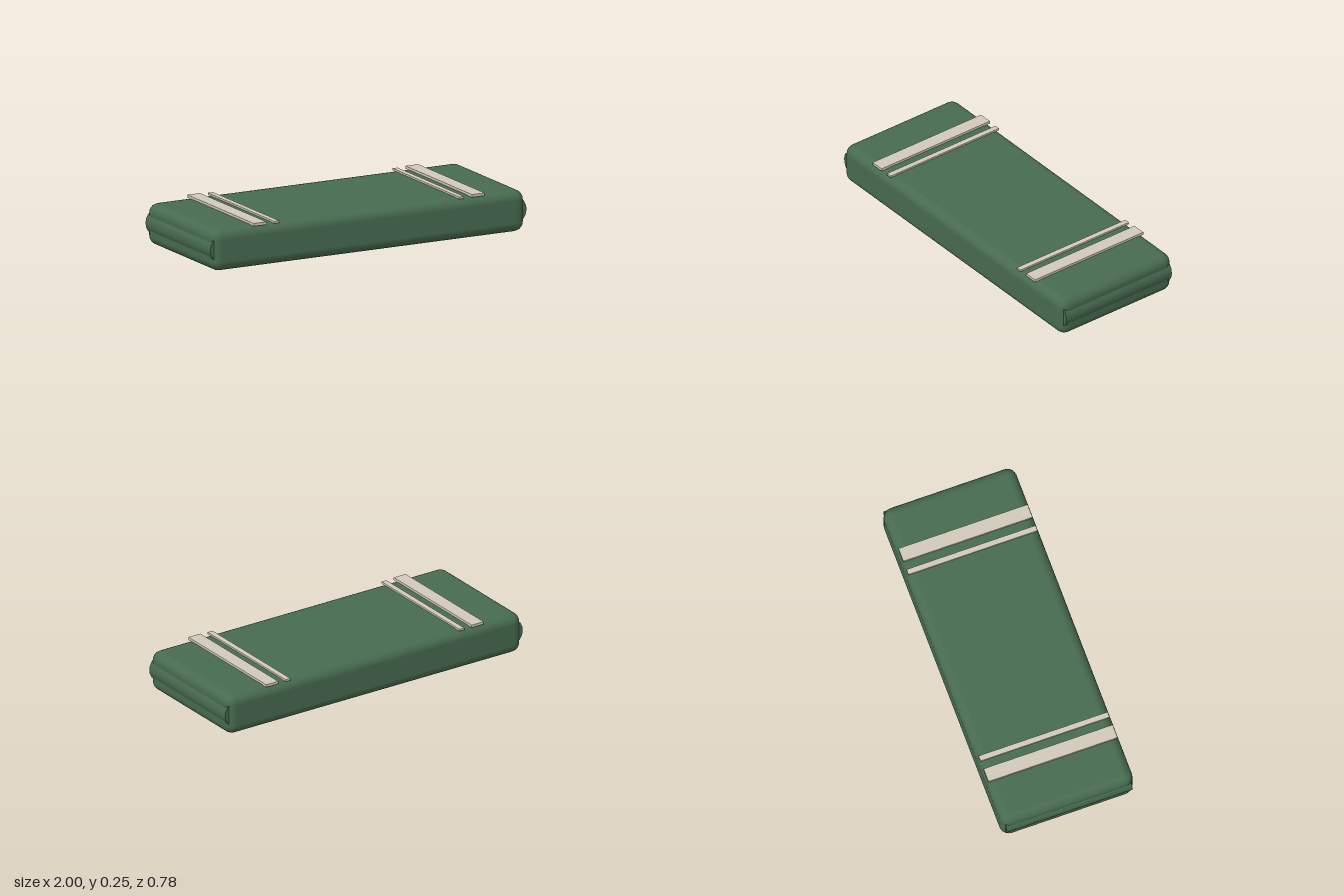
import * as THREE from 'three';
import { RoundedBoxGeometry } from 'three/addons/geometries/RoundedBoxGeometry.js';

export function createModel() {
  const model = new THREE.Group();
  model.name = 'paddedBedroll';

  const green = new THREE.MeshStandardMaterial({ color: 0x476b50 });
  green.name = 'green canvas';
  const cream = new THREE.MeshStandardMaterial({ color: 0xd2c9b8 });
  cream.name = 'cream webbing';

  function add(name, geometry, material, x, y, z = 0) {
    const mesh = new THREE.Mesh(geometry, material);
    mesh.name = name;
    mesh.position.set(x, y, z);
    model.add(mesh);
    return mesh;
  }

  // Soft rectangular body
  add('body', new RoundedBoxGeometry(1.976, 0.236, 0.78, 3, 0.055), green, 0, 0.118);

  // Each end has a bulging roll, a wide strap and a narrow strap
  const rollGeometry = new THREE.CylinderGeometry(0.08, 0.08, 0.74, 20).rotateX(Math.PI / 2);
  const wideGeometry = new THREE.BoxGeometry(0.08, 0.016, 0.76);
  const narrowGeometry = new THREE.BoxGeometry(0.032, 0.012, 0.76);
  for (const [side, s] of [['left', 1], ['right', -1]]) {
    add(side + 'EndRoll', rollGeometry, green, s * 0.92, 0.124);
    add(side + 'WideStrap', wideGeometry, cream, s * 0.69, 0.242);
    add(side + 'NarrowStrap', narrowGeometry, cream, s * 0.584, 0.24);
  }

  return model;
}
